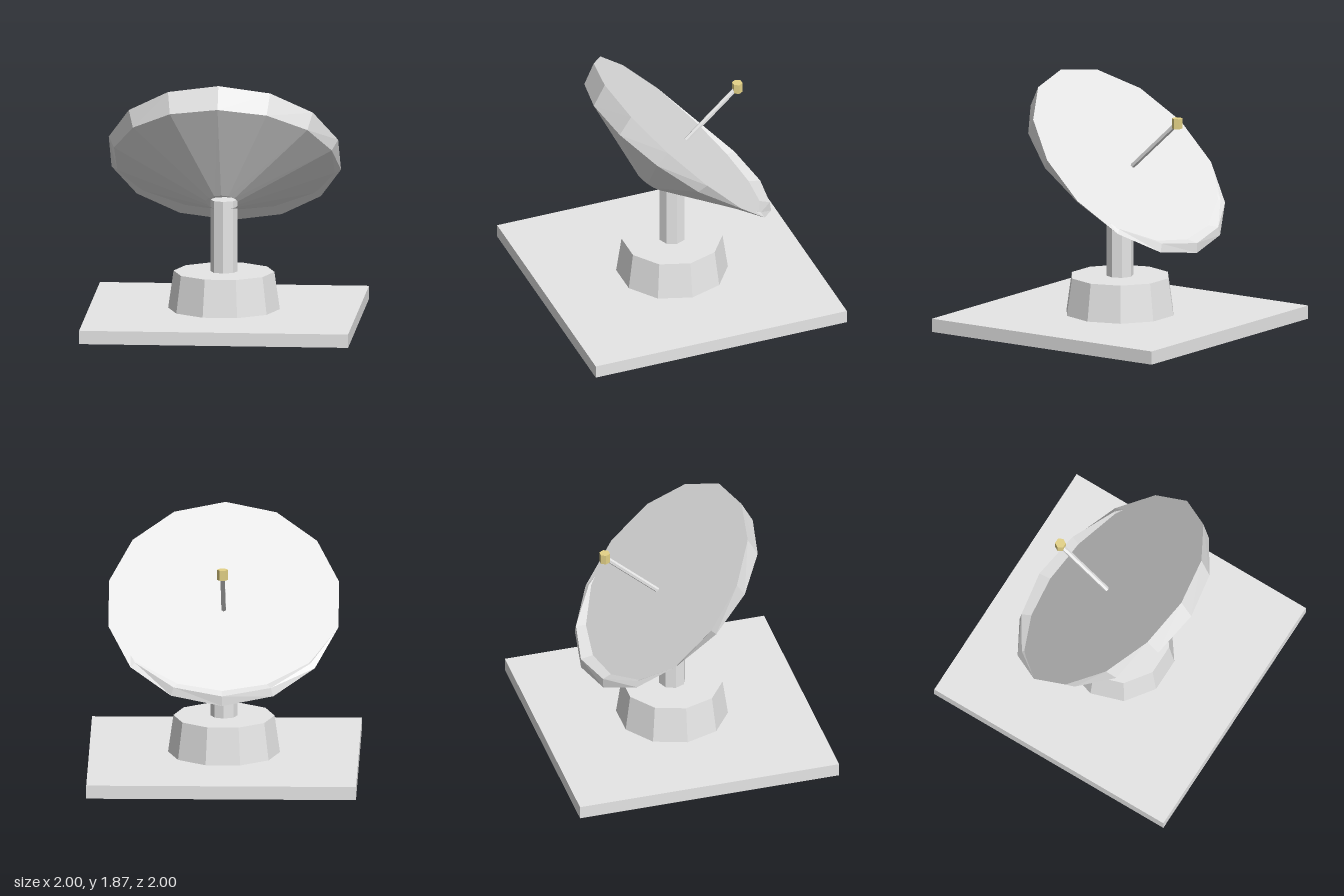
import * as THREE from 'three';

const SIDES = 14;

export function createModel() {
  const grey = new THREE.MeshStandardMaterial({ color: 0xe6e6e6, side: THREE.DoubleSide });
  grey.name = 'pale grey';
  const brass = new THREE.MeshStandardMaterial({ color: 0xe4d287, side: THREE.DoubleSide });
  brass.name = 'pale brass';

  const model = new THREE.Group();
  model.name = 'dishAntenna';

  // Adds a faceted mesh
  function add(name, geometry, material, x = 0, y = 0, z = 0) {
    const flat = geometry.index ? geometry.toNonIndexed() : geometry;
    flat.computeVertexNormals();
    const mesh = new THREE.Mesh(flat, material);
    mesh.name = name;
    mesh.position.set(x, y, z);
    model.add(mesh);
    return mesh;
  }

  // Upright prism, closed on top and open below, standing on its origin
  function prism(top, bottom, height, sides, turn = Math.PI / 2) {
    const profile = [[bottom, 0], [top, height], [0, height]].map(([r, y]) => new THREE.Vector2(r, y));
    return new THREE.LatheGeometry(profile, sides, turn);
  }

  // Hollow ground slab, tapered pedestal and mast
  add('slab', prism(Math.SQRT2, Math.SQRT2, 0.1, 4, Math.PI / 4), grey);
  add('pedestal', prism(0.375, 0.415, 0.28, 10), grey, 0, 0.1, 0);
  add('mast', prism(0.1, 0.1, 0.54, 8), grey, 0, 0.38, 0);

  // Dish: open back collar, cone edge, more steeply tilted rim, flat face
  const rings = [
    { y: 0.927, z: 0.17, r: 0.122, tilt: 36 },
    { y: 1.21, z: -0.04, r: 0.83, tilt: 37 },
    { y: 1.255, z: -0.083, r: 0.875, tilt: 45 },
    { y: 1.255, z: -0.083, r: 0, tilt: 45 },
  ];
  const corner = (ring, k) => {
    const angle = (k / SIDES) * Math.PI * 2;
    const tilt = THREE.MathUtils.degToRad(ring.tilt);
    const u = ring.r * Math.cos(angle);
    return [ring.r * Math.sin(angle), ring.y + u * Math.sin(tilt), ring.z + u * Math.cos(tilt)];
  };
  const points = [];
  for (let i = 0; i < rings.length - 1; i++) {
    for (let k = 0; k < SIDES; k++) {
      const a = corner(rings[i], k), b = corner(rings[i], k + 1);
      const c = corner(rings[i + 1], k + 1), d = corner(rings[i + 1], k);
      points.push(...a, ...b, ...c);
      if (rings[i + 1].r > 0) points.push(...a, ...c, ...d);
    }
  }
  const dish = new THREE.BufferGeometry();
  dish.setAttribute('position', new THREE.Float32BufferAttribute(points, 3));
  add('dish', dish, grey);

  // Arm from the dish face to the feed, with a ridge along its top
  const start = new THREE.Vector3(0, 1.205, -0.095);
  const along = new THREE.Vector3(0, 1.59, -0.515).sub(start);
  const arm = add('feedArm', prism(0.019, 0.019, along.length(), 6, 0), grey, start.x, start.y, start.z);
  arm.quaternion.setFromUnitVectors(new THREE.Vector3(0, 1, 0), along.normalize());

  // Hexagonal feed
  add('feed', prism(0.04, 0.04, 0.077, 6), brass, 0, 1.557, -0.52);

  return model;
}
